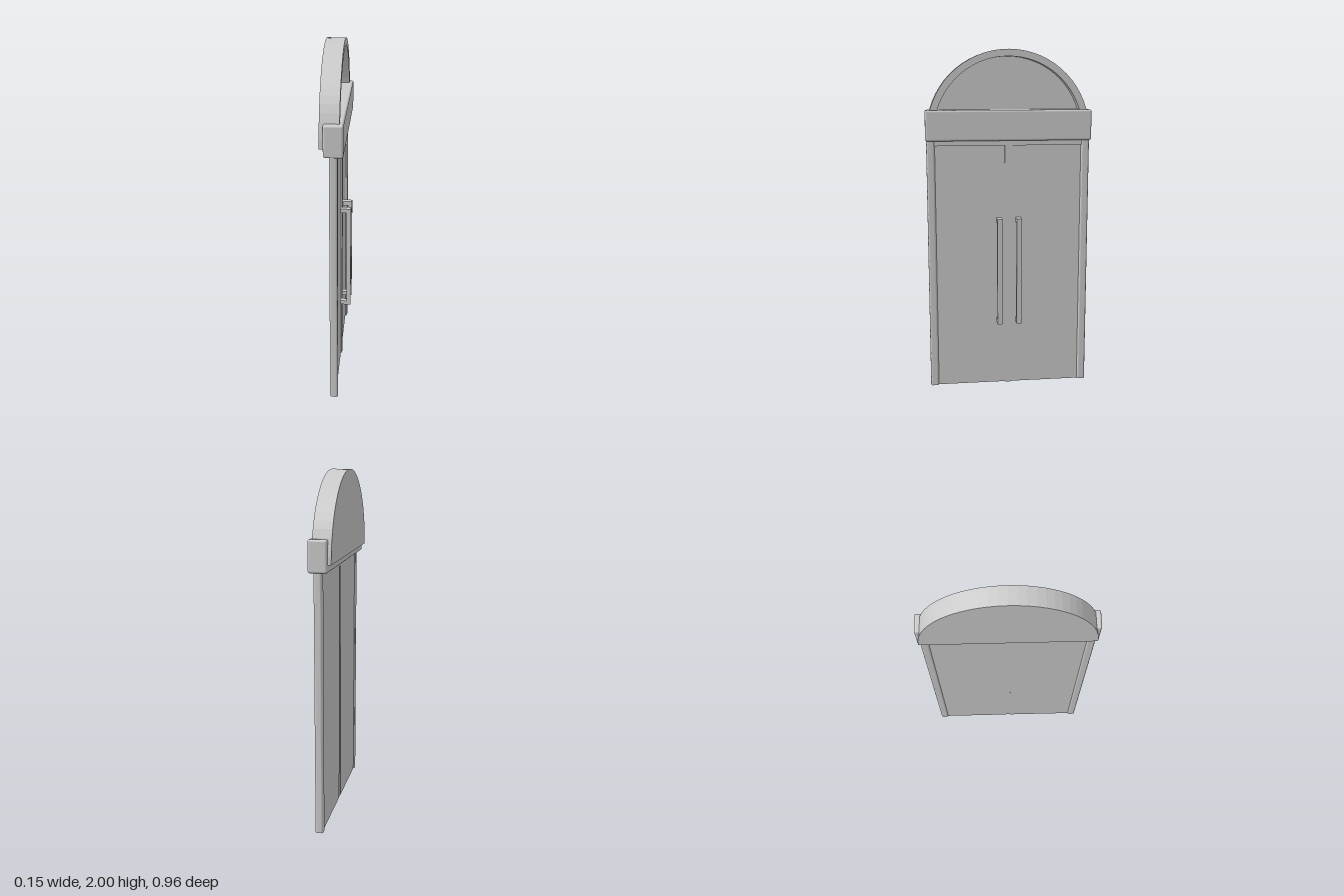
import * as THREE from 'three';
import { RoundedBoxGeometry } from 'three/addons/geometries/RoundedBoxGeometry.js';

const flat = new THREE.MeshStandardMaterial({ color: 0xcccccc, flatShading: true });
const smooth = new THREE.MeshStandardMaterial({ color: 0xcccccc });

function add(parent, name, geometry, material = flat) {
  const mesh = new THREE.Mesh(geometry, material);
  mesh.name = name;
  parent.add(mesh);
  return mesh;
}

// Box given by its min and max on each axis
function box(parent, name, [x0, x1], [y0, y1], [z0, z1]) {
  const mesh = add(parent, name, new THREE.BoxGeometry(x1 - x0, y1 - y0, z1 - z0));
  mesh.position.set((x0 + x1) / 2, (y0 + y1) / 2, (z0 + z1) / 2);
  return mesh;
}

// Outline in the door plane, extruded from x0 to x1
function slab(shape, x0, x1) {
  return new THREE.ExtrudeGeometry(shape, { depth: x1 - x0, bevelEnabled: false, curveSegments: 16 })
    .rotateY(Math.PI / 2).translate(x0, 0, 0);
}

function halfDisc(radius) {
  const shape = new THREE.Shape();
  shape.absarc(0, 1.53, radius, 0, Math.PI, false);
  return shape;
}

// Rounded rectangle outline, centred
function roundedRect(w, h, r) {
  const s = new THREE.Shape();
  s.absarc(w / 2 - r, h / 2 - r, r, 0, Math.PI / 2);
  s.absarc(-w / 2 + r, h / 2 - r, r, Math.PI / 2, Math.PI);
  s.absarc(-w / 2 + r, -h / 2 + r, r, Math.PI, Math.PI * 1.5);
  s.absarc(w / 2 - r, -h / 2 + r, r, Math.PI * 1.5, Math.PI * 2);
  return s;
}

export function createModel() {
  const group = new THREE.Group();
  group.name = 'archedDoubleDoor';

  // Arch rim with a recessed panel, flush at the back
  const rim = new THREE.Shape();
  rim.absarc(0, 1.53, 0.47, 0, Math.PI, false);
  rim.absarc(0, 1.53, 0.43, Math.PI, 0, true);
  add(group, 'archRim', slab(rim, -0.075, 0.03));
  add(group, 'archPanel', slab(halfDisc(0.435), -0.075, -0.03));

  // Header beam
  const header = add(group, 'header', new RoundedBoxGeometry(0.105, 0.175, 0.96, 3, 0.012), smooth);
  header.position.set(-0.002, 1.572, 0);

  // Frame top rail and the strip where the leaves meet
  box(group, 'topRail', [-0.018, 0.017], [1.455, 1.5], [-0.43, 0.43]);
  box(group, 'meetingStile', [-0.016, 0.016], [0, 1.455], [-0.022, 0.022]);

  for (const side of [1, -1]) {
    const half = new THREE.Group();
    half.name = side > 0 ? 'nearHalf' : 'farHalf';
    group.add(half);
    const span = (a, b) => (side > 0 ? [a, b] : [-b, -a]);

    // Jamb post with rounded edges
    const jamb = new THREE.ExtrudeGeometry(roundedRect(0.045, 0.048, 0.012),
      { depth: 1.5, bevelEnabled: false, curveSegments: 4 }).rotateX(-Math.PI / 2);
    add(half, 'jamb', jamb).position.set(-0.002, 0, side * 0.451);

    // Door leaf
    box(half, 'leaf', [-0.018, 0.008], [0, 1.46], span(0.015, 0.44));

    // Pull handle on two standoffs
    const z = span(0.042, 0.072);
    box(half, 'handleBar', [0.045, 0.07], [0.39, 1.03], z);
    for (const y of [0.39, 1.005]) box(half, 'handleStandoff', [0, 0.046], [y, y + 0.025], z);
  }
  return group;
}
